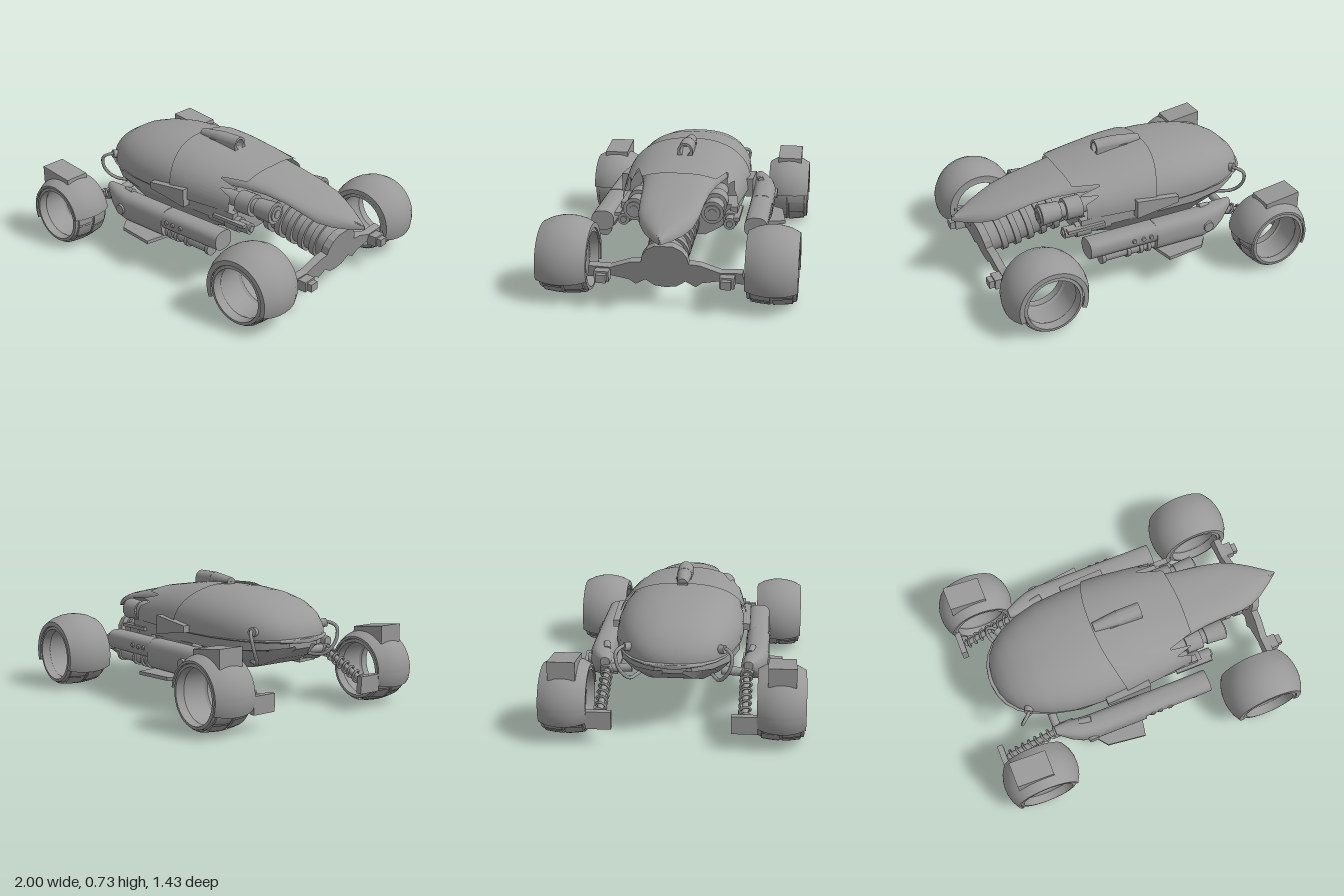
import * as THREE from 'three';
import { toCreasedNormals } from 'three/addons/utils/BufferGeometryUtils.js';

const V = (x, y, z) => new THREE.Vector3(x, y, z);
const solid = new THREE.MeshStandardMaterial({ color: 0x999999 });
const thin = new THREE.MeshStandardMaterial({ color: 0x999999, side: THREE.DoubleSide });

function add(parent, name, geo, mat = solid) {
  const m = new THREE.Mesh(geo, mat);
  m.name = name;
  parent.add(m);
  return m;
}

// Skin through rings of points that run along x, with optional end caps
function loft(rings, capped = true, crease = 0.6) {
  const pos = [], idx = [], n = rings[0].length;
  rings.forEach(r => r.forEach(p => pos.push(p.x, p.y, p.z)));
  for (let i = 0; i < rings.length - 1; i++) for (let j = 0; j < n; j++) {
    if (!capped && j === n - 1) continue;
    const k = (j + 1) % n, a = i * n + j, b = i * n + k;
    idx.push(a, a + n, b, b, a + n, b + n);
  }
  if (capped) [0, rings.length - 1].forEach(e => {
    const c = rings[e].reduce((s, p) => s.add(p), V(0, 0, 0)).divideScalar(n);
    const ci = pos.push(c.x, c.y, c.z) / 3 - 1;
    for (let j = 0; j < n; j++) {
      const a = e * n + j, b = e * n + (j + 1) % n;
      e ? idx.push(ci, b, a) : idx.push(ci, a, b);
    }
  });
  const g = new THREE.BufferGeometry();
  g.setAttribute('position', new THREE.Float32BufferAttribute(pos, 3));
  g.setIndex(idx);
  return toCreasedNormals(g, crease);
}

const soft = (c, power) => Math.sign(c) * Math.abs(c) ** power;

// Arched section: half width w, crown y1, lower edge y0
function arch(x, w, y1, y0, n = 48, power = 0.85) {
  return Array.from({ length: n + 1 }, (_, j) => {
    const t = Math.PI * j / n;
    return V(x, y0 + (y1 - y0) * Math.sin(t) ** power, w * soft(Math.cos(t), power));
  });
}

// Closed rounded section centred on z = zc
function oval(x, zc, w, y1, y0, n = 32) {
  return Array.from({ length: n }, (_, j) => {
    const t = Math.PI * 2 * j / n;
    return V(x, (y0 + y1) / 2 + (y1 - y0) / 2 * soft(Math.sin(t), 0.75), zc + w * soft(Math.cos(t), 0.75));
  });
}

// Cylinder from a to b
function rod(a, b, r, r2 = r, seg = 24) {
  const d = b.clone().sub(a);
  const g = new THREE.CylinderGeometry(r2, r, d.length(), seg);
  g.applyQuaternion(new THREE.Quaternion().setFromUnitVectors(V(0, 1, 0), d.normalize()));
  return g.translate((a.x + b.x) / 2, (a.y + b.y) / 2, (a.z + b.z) / 2);
}

const box = (x0, x1, y0, y1, z0, z1) =>
  new THREE.BoxGeometry(x1 - x0, y1 - y0, z1 - z0).translate((x0 + x1) / 2, (y0 + y1) / 2, (z0 + z1) / 2);

function slab(pts, depth) {
  const s = new THREE.Shape(pts.map(p => new THREE.Vector2(...p)));
  return new THREE.ExtrudeGeometry(s, { depth, bevelEnabled: false });
}

// Lathe about the z axis; phi 0 points down, a half turn points up
function turned(profile, start = 0, len = Math.PI * 2, seg = 48) {
  const g = new THREE.LatheGeometry(profile.map(p => new THREE.Vector2(...p)), seg, start, len);
  return toCreasedNormals(g.rotateX(Math.PI / 2), 0.5);
}

function wheel(name, x, zc, h, R, start, end) {
  const g = new THREE.Group();
  g.name = name;
  g.position.set(x, 0.2, zc);
  add(g, 'tyre', turned([[0.155, -h * 0.97], [0.172, -h * 0.95], [0.176, -h * 0.82], [0.185, -h * 0.5], [0.191, 0],
    [0.185, h * 0.5], [0.176, h * 0.82], [0.172, h * 0.95], [0.155, h * 0.97], [0.15, h * 0.6], [0.158, h * 0.5],
    [0.158, -h * 0.5], [0.15, -h * 0.6], [0.155, -h * 0.97]]), thin);
  // Staggered curved tread blocks
  for (let i = 0; i < 14; i++) for (const s of [-1, 1]) {
    const band = [[0.178, 0.82], [0.186, 0.8], [0.193, 0.45], [0.197, 0.06], [0.188, 0.04]].map(([r, k]) => [r, s * k * h]);
    add(g, 'treadBlock', turned(band, (i + s * 0.2) * Math.PI / 7, 0.4, 4), thin);
  }
  // Barrel-shaped guard wrapped over the tyre
  const a = THREE.MathUtils.degToRad(start), l = THREE.MathUtils.degToRad(end - start);
  add(g, 'wheelGuard', turned([[0.175, -h], [R - 0.04, -h], [R - 0.015, -h * 0.65], [R - 0.003, -h * 0.3], [R, 0],
    [R - 0.003, h * 0.3], [R - 0.015, h * 0.65], [R - 0.04, h], [0.175, h], [0.198, h * 0.6], [0.205, 0],
    [0.198, -h * 0.6], [0.175, -h]], a, l), thin);
  return g;
}

function buildSide() {
  const g = new THREE.Group();
  g.name = 'leftSide';
  g.add(wheel('frontWheel', -0.77, 0.585, 0.13, 0.228, 96, 292));
  g.add(wheel('rearWheel', 0.675, 0.573, 0.142, 0.243, 72, 292));
  add(g, 'guardBlock', slab([[-0.92, 0.36], [-0.7, 0.4], [-0.7, 0.435], [-0.92, 0.465]], 0.15).translate(0, 0, 0.51));

  // Side pod with its fittings
  add(g, 'pod', loft([oval(-0.6, 0.4, 0.025, 0.37, 0.32), oval(-0.52, 0.42, 0.055, 0.375, 0.25),
    oval(-0.46, 0.435, 0.065, 0.378, 0.215), oval(-0.38, 0.445, 0.07, 0.378, 0.205), oval(-0.06, 0.447, 0.07, 0.378, 0.205)]));
  add(g, 'podRear', loft([oval(-0.07, 0.447, 0.066, 0.375, 0.26), oval(0.36, 0.447, 0.066, 0.375, 0.26)]));
  add(g, 'podTube', rod(V(-0.06, 0.24, 0.455), V(0.28, 0.24, 0.455), 0.033));
  for (const x of [-0.03, 0.02, 0.1, 0.26]) add(g, 'podTubeCollar', rod(V(x, 0.24, 0.455), V(x + 0.022, 0.24, 0.455), 0.043));
  for (const x of [-0.02, 0.03, 0.09])
    add(g, 'podBolt', rod(V(x, 0.322, 0.5), V(x, 0.322, 0.522), 0.015, 0.012));
  add(g, 'podPort', rod(V(-0.4, 0.287, 0.49), V(-0.4, 0.287, 0.525), 0.036, 0.03));
  add(g, 'podCap', rod(V(-0.45, 0.36, 0.41), V(-0.38, 0.375, 0.42), 0.022, 0.018));
  add(g, 'podWing', slab([[-0.4, 0.36], [-0.05, 0.36], [-0.1, 0.595], [-0.33, 0.565], [-0.38, 0.5]], 0.02)
    .rotateX(Math.PI / 2).translate(0, 0.208, 0));
  add(g, 'sideBlade', slab([[-0.26, 0.43], [0.01, 0.39], [0.01, 0.5], [-0.26, 0.47]], 0.05).translate(0, 0, 0.35));
  add(g, 'skirt', box(-0.06, 0.34, 0.36, 0.43, 0.3, 0.34));
  add(g, 'skirtFin', box(0.2, 0.43, 0.375, 0.395, 0.325, 0.36));

  // Exhausts
  add(g, 'upperExhaust', rod(V(0.1, 0.46, 0.22), V(0.56, 0.46, 0.22), 0.045));
  add(g, 'upperExhaustSleeve', rod(V(0.3, 0.46, 0.22), V(0.4, 0.46, 0.22), 0.066));
  add(g, 'upperExhaustNozzle', rod(V(0.43, 0.46, 0.22), V(0.55, 0.46, 0.22), 0.055, 0.064));
  add(g, 'exhaustTip', rod(V(0.53, 0.46, 0.22), V(0.565, 0.46, 0.22), 0.025));
  add(g, 'lowerExhaust', rod(V(0.15, 0.36, 0.305), V(0.44, 0.36, 0.305), 0.034));
  add(g, 'lowerExhaustSleeve', rod(V(0.28, 0.36, 0.305), V(0.37, 0.36, 0.305), 0.044));
  add(g, 'lowerExhaustTip', rod(V(0.43, 0.36, 0.305), V(0.45, 0.36, 0.305), 0.018));

  // Front coil strut
  const a = V(-0.91, 0.15, 0.39), b = V(-0.58, 0.3, 0.39), d = b.clone().sub(a);
  const v = d.clone().normalize().cross(V(0, 0, 1));
  const coil = Array.from({ length: 97 }, (_, i) => {
    const t = i / 12 * Math.PI * 2;
    return a.clone().addScaledVector(d, i / 96).addScaledVector(v, 0.03 * Math.sin(t)).add(V(0, 0, 0.03 * Math.cos(t)));
  });
  add(g, 'strutCoil', new THREE.TubeGeometry(new THREE.CatmullRomCurve3(coil), 160, 0.007, 6));
  add(g, 'strutRod', rod(a, b, 0.018));
  add(g, 'strutFoot', box(-0.955, -0.92, 0.1, 0.2, 0.32, 0.46));
  add(g, 'strutMount', rod(V(-0.6, 0.29, 0.39), V(-0.48, 0.33, 0.4), 0.038));
  add(g, 'strutArm', rod(V(-0.58, 0.31, 0.25), V(-0.58, 0.3, 0.4), 0.025));

  // Hose at the nose
  add(g, 'hose', new THREE.TubeGeometry(new THREE.CatmullRomCurve3([V(-0.68, 0.48, 0.24), V(-0.715, 0.485, 0.285),
    V(-0.755, 0.46, 0.315), V(-0.765, 0.38, 0.3), V(-0.73, 0.31, 0.25), V(-0.62, 0.3, 0.2)]), 32, 0.01, 8));
  add(g, 'hoseFitting', rod(V(-0.69, 0.475, 0.23), V(-0.71, 0.483, 0.275), 0.025));

  // Rear axle link
  add(g, 'axleLink', box(0.83, 0.89, 0.155, 0.215, 0.3, 0.38));
  add(g, 'axleLug', box(0.87, 0.92, 0.16, 0.205, 0.31, 0.365));
  return g;
}

// Reflected copy with baked geometry and reversed corner order
function mirrored(src, name) {
  const out = new THREE.Group();
  out.name = name;
  src.updateMatrixWorld(true);
  src.traverse(o => {
    if (!o.isMesh) return;
    const g = o.geometry.index ? o.geometry.toNonIndexed() : o.geometry.clone();
    g.applyMatrix4(o.matrixWorld);
    for (const key of ['position', 'normal']) {
      const at = g.attributes[key];
      for (let i = 0; i < at.count; i++) at.setZ(i, -at.getZ(i));
      for (let i = 0; i < at.count; i += 3) {
        const p = V().fromBufferAttribute(at, i), q = V().fromBufferAttribute(at, i + 2);
        at.setXYZ(i, q.x, q.y, q.z);
        at.setXYZ(i + 2, p.x, p.y, p.z);
      }
    }
    add(out, o.name, g, o.material);
  });
  return out;
}

export function createModel() {
  const root = new THREE.Group();
  root.name = 'racer';

  // Egg-shaped body
  const dome = [[-0.835, 0.02, 0.445], [-0.825, 0.09, 0.485], [-0.8, 0.155, 0.525], [-0.75, 0.22, 0.572], [-0.68, 0.27, 0.612],
    [-0.58, 0.317, 0.643], [-0.45, 0.35, 0.664], [-0.3, 0.363, 0.673], [-0.15, 0.363, 0.672], [0, 0.35, 0.655], [0.13, 0.33, 0.625]];
  add(root, 'bodyDome', loft(dome.map(([x, w, y]) => arch(x, w, y, 0.43))));
  add(root, 'bodyRim', loft(dome.slice(0, 9).map(([x, w], i) =>
    oval(x - 0.02 * (1 - i / 8), 0, w + 0.01 * (1 - i / 8), 0.442, 0.415))));
  const hull = [[-0.82, 0.1, 0.38], [-0.74, 0.21, 0.32], [-0.6, 0.3, 0.26], [-0.4, 0.345, 0.22], [0, 0.345, 0.2], [0.3, 0.3, 0.24]];
  add(root, 'hull', loft(hull.map(([x, w, b]) => [[w, 0.4 - w * 0.1], [w, 0.43], [-w, 0.43], [-w, 0.4 - w * 0.1], [-w * 0.8, b + 0.05],
    [-w * 0.5, b], [w * 0.5, b], [w * 0.8, b + 0.05]].map(([z, y]) => V(x, y, z))), true, 0.4));

  // Raised rear cowl with a saw-tooth trailing edge
  const pick = (table, s, col) => {
    const k = Math.max(1, table.findIndex(p => p[0] >= s)), p = table[k - 1], q = table[k];
    return p[col] + (q[col] - p[col]) * (s - p[0]) / (q[0] - p[0]);
  };
  const teeth = [[0, 0.35], [0.6, 0.34], [0.72, 0.17], [0.8, 0.33], [0.87, 0.21], [0.93, 0.3], [1.01, 0.3]];
  const cowl = [[-0.25, 0.376, 0.687], [-0.1, 0.377, 0.683], [0, 0.37, 0.672], [0.13, 0.357, 0.653], [0.4, 0.325, 0.612]];
  const N = 96;
  const cowlRing = xAt => Array.from({ length: N + 1 }, (_, j) => {
    const x = xAt(Math.abs(Math.cos(Math.PI * j / N)));
    return arch(x, pick(cowl, x, 1), pick(cowl, x, 2), 0.43, N)[j];
  });
  add(root, 'rearCowl', loft([s => -0.2 + 0.075 * s * s, () => -0.06, () => 0, () => 0.13,
    s => pick(teeth, s, 1)].map(cowlRing), false), thin);

  // Pointed tail shell with a faint centre ridge
  const tail = [[0.12, 0.26, 0.635, 0.54], [0.3, 0.215, 0.618, 0.54], [0.45, 0.192, 0.594, 0.535], [0.58, 0.18, 0.567, 0.52],
    [0.7, 0.168, 0.541, 0.485], [0.78, 0.145, 0.521, 0.45], [0.86, 0.105, 0.497, 0.432], [0.94, 0.05, 0.47, 0.425], [1, 0.004, 0.447, 0.425]];
  add(root, 'tail', loft(tail.map(t => arch(...t, 24, 0.85))));

  // Hollow roof scoop
  add(root, 'roofScoop', toCreasedNormals(new THREE.LatheGeometry([[0.03, 0], [0.045, 0], [0.045, 0.14], [0.03, 0.14], [0.03, 0]]
    .map(p => new THREE.Vector2(...p)), 32), 0.5).rotateZ(-Math.PI / 2).translate(-0.04, 0.685, 0), thin);
  add(root, 'roofScoopNose', rod(V(-0.19, 0.68, 0), V(-0.03, 0.685, 0), 0.03, 0.045));
  for (const s of [-1, 1]) add(root, 'roofScoopBase', box(-0.1, 0.1, 0.63, 0.685, s * 0.0375 - 0.0075, s * 0.0375 + 0.0075));

  // Ribbed neck running down to the rear axle plate
  const n0 = V(0.25, 0.38, 0), n1 = V(0.82, 0.265, 0);
  add(root, 'neck', rod(n0, n1, 0.11, 0.1, 32));
  for (let i = 0; i < 5; i++) {
    const t = 0.25 + i * 0.14, r = 0.13 - i * 0.003;
    add(root, 'neckRib', rod(n0.clone().lerp(n1, t), n0.clone().lerp(n1, t + 0.06), r, r, 32));
  }
  const half = [[0.05, 0.38], [0.095, 0.355], [0.122, 0.315], [0.13, 0.275], [0.19, 0.27], [0.3, 0.23], [0.42, 0.235], [0.43, 0.165],
    [0.3, 0.18], [0.2, 0.16], [0.165, 0.132], [0.11, 0.165], [0.06, 0.13], [0, 0.122]];
  const outline = [...half, ...half.slice(0, -1).reverse().map(([z, y]) => [-z, y])];
  const plate = add(root, 'axlePlate', slab(outline.map(([z, y]) => [z, y - 0.25]), 0.045).rotateY(Math.PI / 2));
  plate.position.set(0.8, 0.25, 0);
  plate.rotation.z = -0.2;

  // Everything that comes in pairs
  const left = buildSide();
  root.add(left, mirrored(left, 'rightSide'));
  return root;
}
